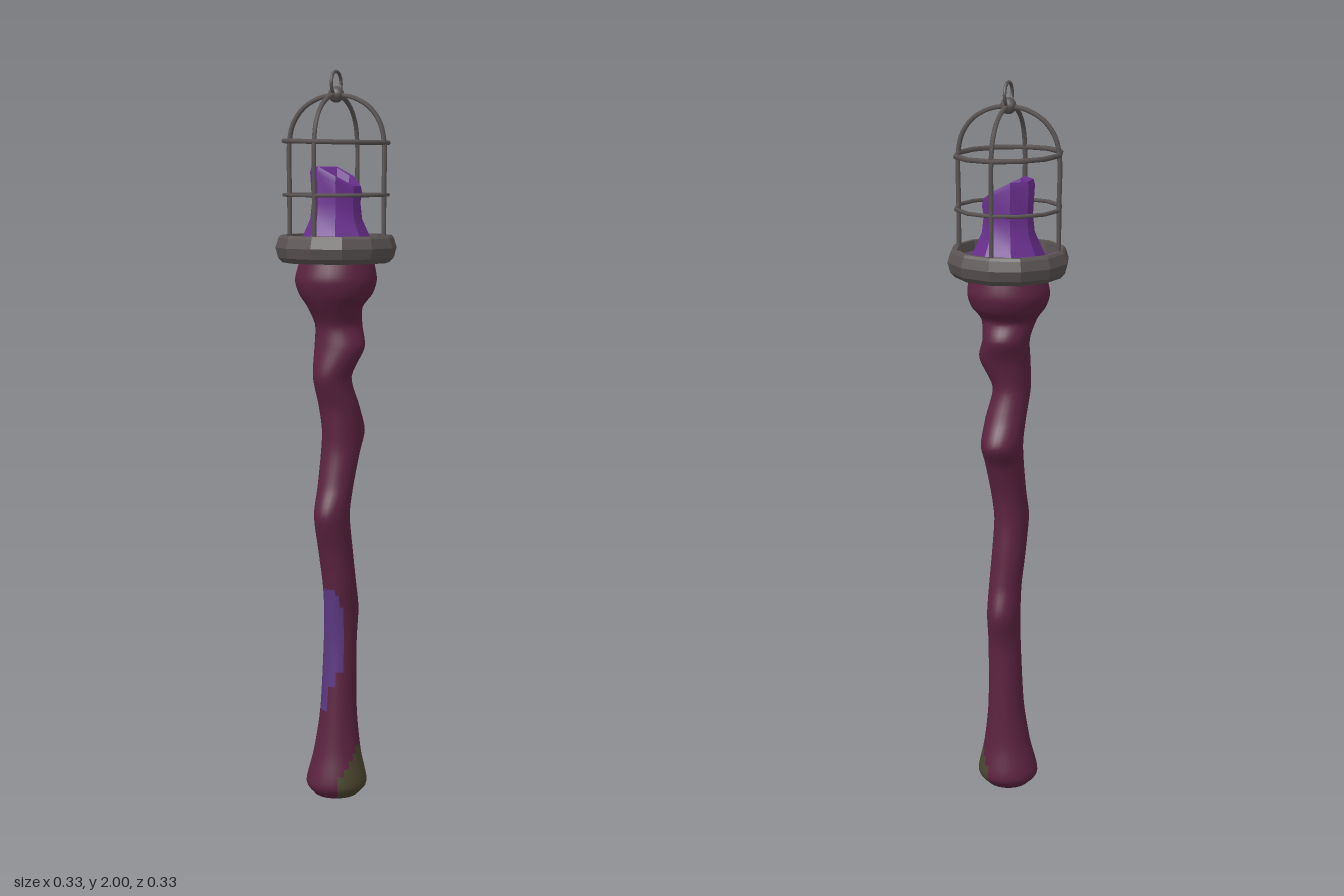
import * as THREE from 'three';
import { toCreasedNormals } from 'three/addons/utils/BufferGeometryUtils.js';

const mat = (name, color, extra = {}) => new THREE.MeshStandardMaterial({ name, color, ...extra });
const WOOD = mat('wood', 0x5c2340);
const STREAK = mat('violetStreak', 0x5c3880);
const MOSS = mat('moss', 0x4a4630);
const FOOT = mat('footGrey', 0x54405f);
const METAL = mat('metal', 0x5a5453);
const WAX = mat('wax', 0x6b3090);
const FLOOR = mat('trayFloor', 0x57445f);
const PUDDLE = mat('puddle', 0x4a2258, { side: THREE.DoubleSide });

// Staff outline: [y, xMin, xMax, zMin, zMax]
const SECTIONS = [
  [0.005, -0.06, 0.06, -0.06, 0.06],
  [0.04, -0.085, 0.085, -0.085, 0.08],
  [0.13, -0.063, 0.068, -0.067, 0.063],
  [0.25, -0.045, 0.055, -0.06, 0.05],
  [0.43, -0.038, 0.053, -0.058, 0.038],
  [0.53, -0.038, 0.052, -0.08, 0.042],
  [0.61, -0.038, 0.052, -0.058, 0.048],
  [0.7, -0.045, 0.048, -0.045, 0.06],
  [0.8, -0.048, 0.046, -0.033, 0.085],
  [0.88, -0.046, 0.052, -0.038, 0.06],
  [0.97, -0.046, 0.06, -0.068, 0.043],
  [1.03, -0.048, 0.064, -0.102, 0.042],
  [1.1, -0.052, 0.058, -0.07, 0.047],
  [1.18, -0.057, 0.046, -0.045, 0.072],
  [1.26, -0.06, 0.08, -0.06, 0.06],
  [1.32, -0.062, 0.064, -0.085, 0.056],
  [1.37, -0.075, 0.075, -0.068, 0.082],
  [1.405, -0.1, 0.1, -0.095, 0.1],
  [1.445, -0.112, 0.11, -0.11, 0.108],
  [1.5, -0.098, 0.1, -0.1, 0.095],
];

function mesh(name, geometry, material) {
  const m = new THREE.Mesh(geometry, material);
  m.name = name;
  return m;
}

// Piecewise linear lookup over [key, value] pairs
function lerpTable(table, k) {
  for (let i = 1; i < table.length; i++) {
    const [a, va] = table[i - 1], [b, vb] = table[i];
    if (k <= b) return va + (vb - va) * (k - a) / (b - a);
  }
  return table[table.length - 1][1];
}

// Painted areas of the staff, by height and angle (0 = +x, 90 = +z)
const STREAK_EDGE = [[0.26, 110], [0.33, 90], [0.38, 55], [0.53, 50], [0.6, 85]];
function paint(y, deg) {
  if (y > 0.26 && y < 0.6 && deg < 152 && deg > lerpTable(STREAK_EDGE, y)) return 1;
  const side = deg > 180 ? deg - 360 : deg;
  if (y < 0.16 - Math.abs(side) * 0.0014 && Math.abs(side) < 62) return 2;
  return 0;
}

function makeStaff() {
  const curve = f => new THREE.CatmullRomCurve3(SECTIONS.map(f), false, 'catmullrom', 0.4);
  const centre = curve(([y, a, b, c, d]) => new THREE.Vector3((a + b) / 2, y, (c + d) / 2));
  const radius = curve(([y, a, b, c, d]) => new THREE.Vector3((b - a) / 2, y, (d - c) / 2));
  const rows = 95, cols = 28, pos = [], faces = [[], [], []];
  for (let i = 0; i <= rows; i++) {
    const c = centre.getPoint(i / rows), r = radius.getPoint(i / rows);
    for (let j = 0; j < cols; j++) {
      const a = j / cols * Math.PI * 2;
      pos.push(c.x + r.x * Math.cos(a), c.y, c.z + r.z * Math.sin(a));
    }
  }
  for (let i = 0; i < rows; i++) {
    for (let j = 0; j < cols; j++) {
      const a = i * cols + j, b = i * cols + (j + 1) % cols, c = a + cols, d = b + cols;
      const y = (pos[a * 3 + 1] + pos[c * 3 + 1]) / 2;
      faces[paint(y, (j + 0.5) / cols * 360)].push(a, c, b, b, c, d);
    }
  }
  const g = new THREE.BufferGeometry();
  g.setAttribute('position', new THREE.Float32BufferAttribute(pos, 3));
  g.setIndex(faces.flat());
  let start = 0;
  faces.forEach((f, k) => { g.addGroup(start, f.length, k); start += f.length; });
  g.computeVertexNormals();
  return mesh('staff', g, [WOOD, STREAK, MOSS]);
}

function lathe(points, sides, crease = 0.3) {
  const g = new THREE.LatheGeometry(points.map(p => new THREE.Vector2(...p)), sides);
  return toCreasedNormals(g, crease);
}

// Wax stump with flared foot, slanted top and hollow
function makeCandle() {
  const g = new THREE.LatheGeometry([
    [0.1, 1.537], [0.088, 1.565], [0.07, 1.605], [0.065, 1.65], [0.07, 1.73],
    [0.066, 1.745], [0.05, 1.742], [0.044, 1.715], [0, 1.71],
  ].map(p => new THREE.Vector2(...p)), 8);
  g.rotateY(Math.PI / 8);
  const p = g.attributes.position;
  for (let i = 0; i < p.count; i++) {
    if (p.getY(i) > 1.7) p.setY(i, p.getY(i) - 0.055 * Math.max(0, (p.getX(i) + 0.01) / 0.075));
  }
  return mesh('candle', toCreasedNormals(g, 0.5), WAX);
}

function makeCage() {
  const cage = new THREE.Group();
  cage.name = 'cage';
  const path = new THREE.CatmullRomCurve3([
    [0.139, 1.54], [0.139, 1.68], [0.139, 1.81], [0.127, 1.86],
    [0.097, 1.9], [0.05, 1.926], [0, 1.935],
  ].map(([x, y]) => new THREE.Vector3(x, y, 0)));
  const bar = new THREE.TubeGeometry(path, 28, 0.0065, 6);
  for (let i = 0; i < 4; i++) {
    const b = mesh('cageBar', bar, METAL);
    b.rotation.y = i * Math.PI / 2;
    cage.add(b);
  }
  // Twelve-sided hoops
  for (const [y, r, tilt] of [[1.67, 0.0055, 0], [1.81, 0.007, -0.02]]) {
    const hoop = mesh('cageHoop', new THREE.TorusGeometry(0.14, r, 6, 12).rotateX(Math.PI / 2), METAL);
    hoop.position.y = y;
    hoop.rotation.z = tilt;
    cage.add(hoop);
  }
  const knob = mesh('topKnob', new THREE.SphereGeometry(0.022, 10, 8), METAL);
  knob.position.y = 1.935;
  const loop = mesh('hangingLoop', new THREE.TorusGeometry(0.032, 0.0045, 6, 16).rotateY(Math.PI / 2), METAL);
  loop.position.y = 1.9635;
  cage.add(knob, loop);
  return cage;
}

export function createModel() {
  const model = new THREE.Group();
  model.name = 'lanternStaff';
  model.add(makeStaff());

  // Underside of the foot
  const foot = mesh('footCap', lathe([[0, 0], [0.045, 0], [0.066, 0.011]], 14, 1), FOOT);
  model.add(foot);

  // Tray: metal rim, dull underside and floor
  model.add(mesh('trayRim', lathe([
    [0.145, 1.49], [0.157, 1.503], [0.164, 1.53], [0.156, 1.556], [0.15, 1.563], [0.138, 1.563], [0.136, 1.534],
  ], 12), METAL));
  model.add(mesh('trayUnderside', lathe([[0, 1.487], [0.145, 1.49]], 12), FLOOR));
  model.add(mesh('trayFloor', lathe([[0.138, 1.536], [0, 1.536]], 12), FLOOR));

  // Spilled wax on the tray floor (shape y is -z)
  const spill = new THREE.Shape([
    [-0.095, 0.02], [-0.07, -0.07], [0, -0.093], [0.11, -0.068], [0.085, 0.0], [0.07, 0.06], [0, 0.085], [-0.07, 0.07],
  ].map(p => new THREE.Vector2(...p)));
  const puddle = mesh('waxPuddle', new THREE.ShapeGeometry(spill).rotateX(-Math.PI / 2), PUDDLE);
  puddle.position.y = 1.54;
  model.add(puddle, makeCandle(), makeCage());
  return model;
}
